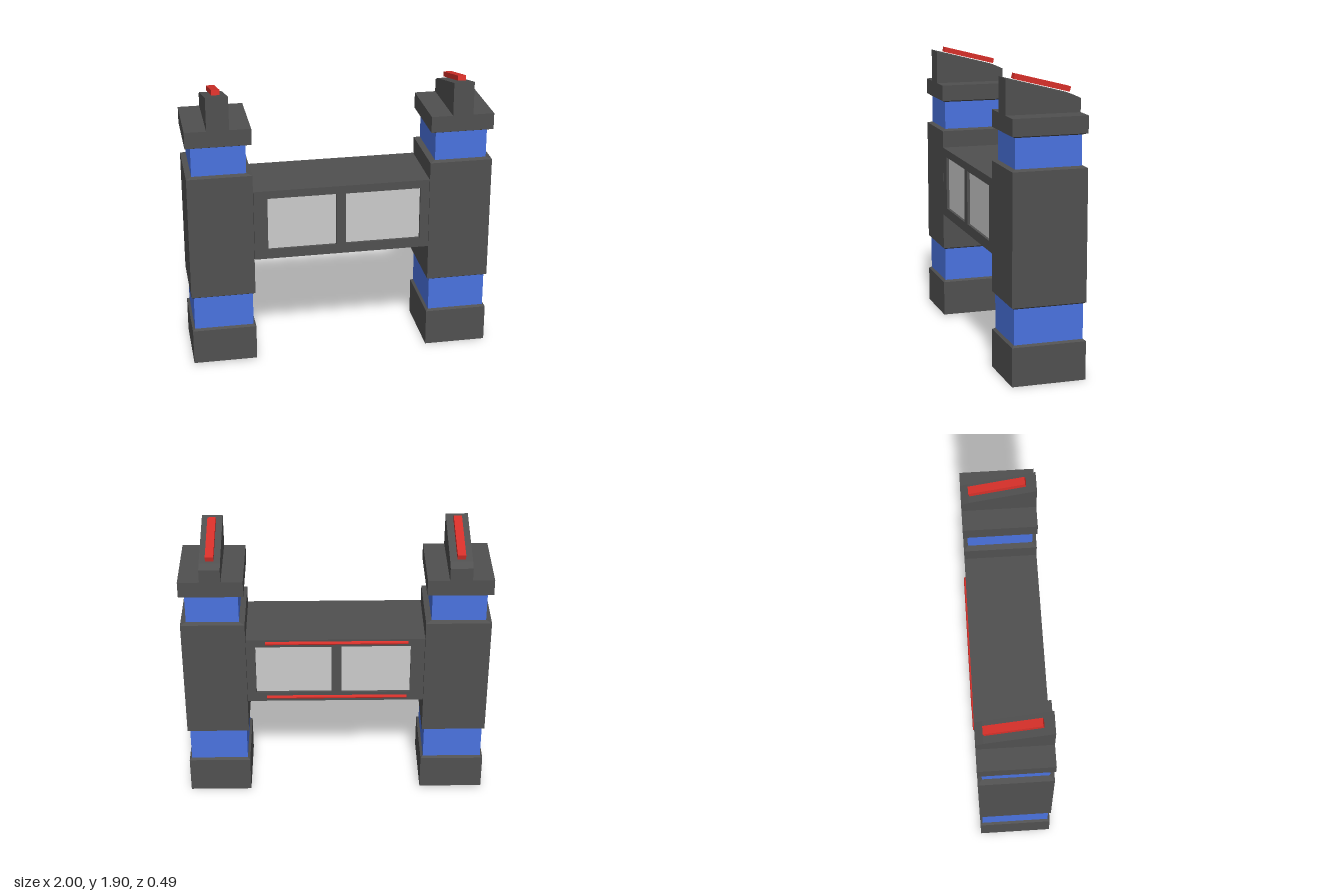
import * as THREE from 'three';

const material = (color) => new THREE.MeshStandardMaterial({ color, flatShading: true });
const dark = material(0x505050);
const blue = material(0x4a73e0);
const red = material(0xd8302a);
const grey = material(0xcccccc);
const BACK = -0.235, FRONT = 0.245;

function addMesh(parent, name, geometry, mat) {
  const mesh = new THREE.Mesh(geometry, mat);
  mesh.name = name;
  parent.add(mesh);
  return mesh;
}

// Rectangular block through rings [y, inset x, inset z], measured from the tower outline
function ringBlock(x0, x1, rings) {
  const n = rings.length - 1;
  const geometry = new THREE.BoxGeometry(1, 1, 1, 1, n, 1).toNonIndexed();
  const p = geometry.attributes.position;
  for (let i = 0; i < p.count; i++) {
    const [y, ix, iz] = rings[Math.round((p.getY(i) + 0.5) * n)];
    p.setXYZ(i, p.getX(i) > 0 ? x1 - ix : x0 + ix, y, p.getZ(i) > 0 ? FRONT - iz : BACK + iz);
  }
  geometry.computeVertexNormals();
  return geometry;
}

// Tower of stacked blocks with a sloping ridge on top
function makeTower(name, x0, x1, footY, ridge0, ridge1, barX) {
  const tower = new THREE.Group();
  tower.name = name;
  const lower = [0.016, 0.016], upper = [0.036, 0.028];
  const stack = [
    ['foot', dark, [[footY, 0, 0], [0.25, 0, 0], [0.262, ...lower]]],
    ['lowerBand', blue, [[0.262, ...lower], [0.49, ...lower]]],
    ['shaft', dark, [[0.49, ...lower], [0.5, 0, 0], [1.34, 0, 0], [1.35, ...upper]]],
    ['upperBand', blue, [[1.35, ...upper], [1.54, ...upper]]],
    ['cap', dark, [[1.54, ...upper], [1.552, 0, 0], [1.66, 0, 0]]],
  ];
  for (const [part, mat, rings] of stack) addMesh(tower, part, ringBlock(x0, x1, rings), mat);

  // Ridge: side profile in (-z, y), extruded across x
  const profile = new THREE.Shape([
    [-FRONT, 1.655], [-BACK, 1.655], [-BACK, 1.747], [0.185, 1.77], [-FRONT, 1.882],
  ].map(([a, b]) => new THREE.Vector2(a, b)));
  const ridge = new THREE.ExtrudeGeometry(profile, { depth: ridge1 - ridge0, bevelEnabled: false });
  ridge.rotateY(Math.PI / 2).translate(ridge0, 0, 0);
  addMesh(tower, 'ridge', ridge, dark);

  // Bar lying on the slope
  const bar = addMesh(tower, 'ridgeBar', new THREE.BoxGeometry(0.053, 0.033, 0.37), red);
  bar.position.set(barX, 1.843, -0.003);
  bar.rotation.x = -0.25;
  return tower;
}

function makeBridge() {
  const bridge = new THREE.Group();
  bridge.name = 'bridge';
  const rect = (Type, x0, x1, y0, y1) => new Type([
    new THREE.Vector2(x0, y0), new THREE.Vector2(x1, y0),
    new THREE.Vector2(x1, y1), new THREE.Vector2(x0, y1),
  ]);
  const frame = rect(THREE.Shape, -0.575, 0.585, 0.745, 1.225);
  const panels = [
    ['rightPanel', -0.485, -0.035, 0.81, 1.172],
    ['leftPanel', 0.03, 0.525, 0.812, 1.17],
  ];
  // Panels sit slightly recessed in the frame on both faces
  const recess = 0.018, depth = FRONT - BACK;
  for (const [name, x0, x1, y0, y1] of panels) {
    frame.holes.push(rect(THREE.Path, x0, x1, y0, y1));
    const panel = new THREE.BoxGeometry(x1 - x0, y1 - y0, depth - 2 * recess);
    panel.translate((x0 + x1) / 2, (y0 + y1) / 2, (FRONT + BACK) / 2);
    addMesh(bridge, name, panel, grey);
  }
  const geometry = new THREE.ExtrudeGeometry(frame, { depth, bevelEnabled: false });
  addMesh(bridge, 'frame', geometry.translate(0, 0, BACK), dark);

  // Thin rods along the back
  for (const [name, y] of [['upperRod', 1.2], ['lowerRod', 0.776]]) {
    const rod = new THREE.CylinderGeometry(0.012, 0.012, 0.925, 8).rotateZ(Math.PI / 2);
    addMesh(bridge, name, rod, red).position.set(-0.003, y, BACK);
  }
  return bridge;
}

export function createModel() {
  const model = new THREE.Group();
  model.name = 'twoTowerGate';
  model.add(
    makeTower('rightTower', -1, -0.577, 0.01, -0.86, -0.716, -0.788),
    makeTower('leftTower', 0.587, 1, 0, 0.727, 0.861, 0.794),
    makeBridge(),
  );
  return model;
}
